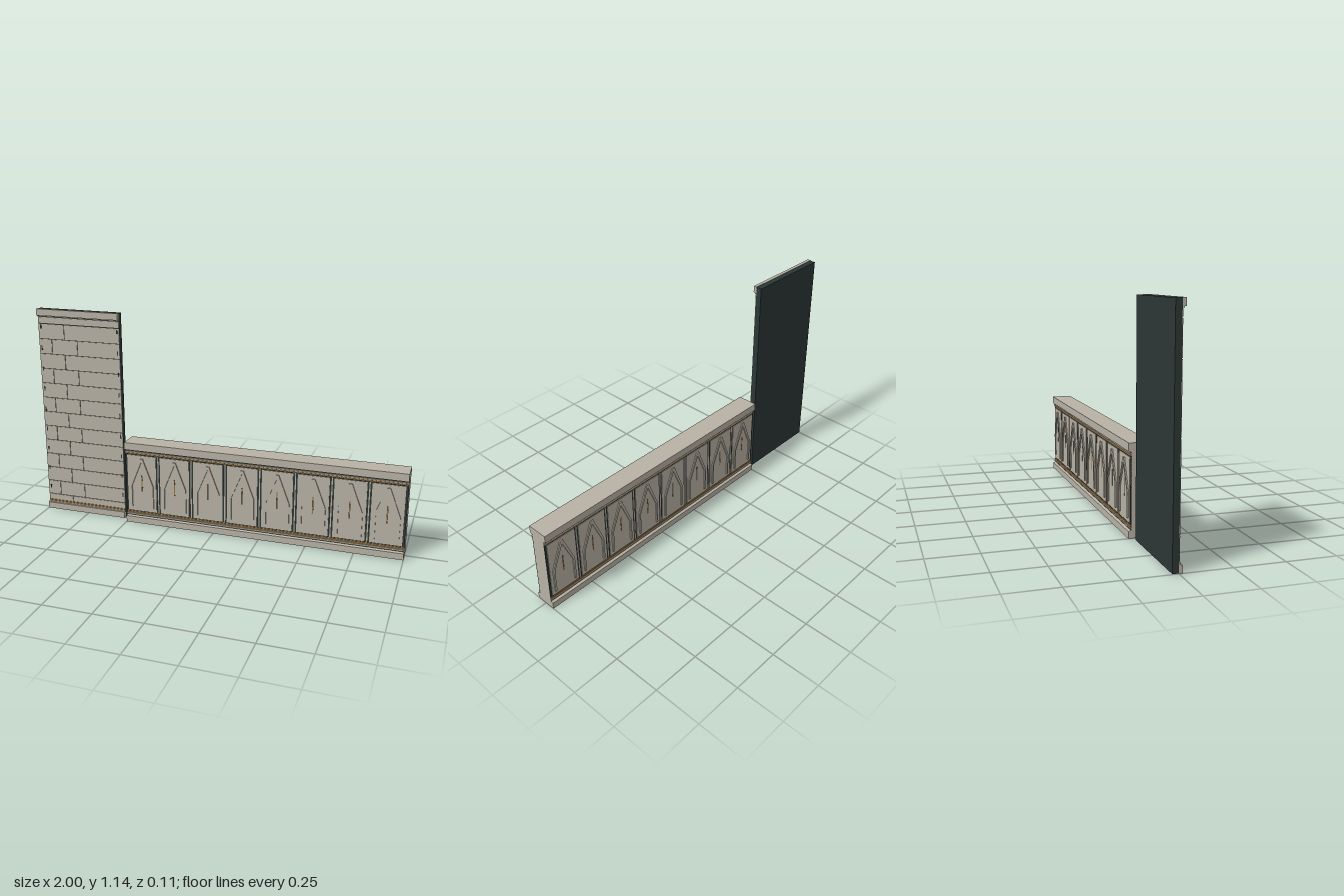
import * as THREE from 'three';

const mat = (name, hex) => {
  const m = new THREE.MeshStandardMaterial({ color: hex });
  m.name = name;
  return m;
};

export function createModel() {
  const stone = mat('stone', 0xb8b2a5);
  const dark = mat('darkBacking', 0x2c3735);
  const gold = mat('gold', 0x9c7138);
  const model = new THREE.Group();

  // box given by its limits on each axis
  const box = (parent, name, m, x0, x1, y0, y1, z0, z1) => {
    const mesh = new THREE.Mesh(new THREE.BoxGeometry(x1 - x0, y1 - y0, z1 - z0), m);
    mesh.position.set((x0 + x1) / 2, (y0 + y1) / 2, (z0 + z1) / 2);
    mesh.name = name;
    parent.add(mesh);
    return mesh;
  };
  const shapeOf = pts => new THREE.Shape(pts.map(p => new THREE.Vector2(...p)));

  // ---- tall brick wall ----
  const wall = new THREE.Group();
  wall.name = 'tallWall';
  model.add(wall);
  const L = -1, R = -0.53, W = R - L;
  box(wall, 'wallSlab', dark, L, R, 0.002, 1.143, -0.03, 0);
  box(wall, 'wallBase', stone, L, R, 0, 0.035, 0, 0.018);
  box(wall, 'wallBaseMoulding', stone, L, R, 0.035, 0.042, 0, 0.009);
  box(wall, 'wallGoldLine', gold, L, R, 0.042, 0.05, 0, 0.006);
  box(wall, 'wallFrieze', stone, L, R, 1.068, 1.1, 0, 0.004);
  box(wall, 'wallCapMoulding', stone, L, R, 1.104, 1.11, 0, 0.009);
  box(wall, 'wallCap', stone, L, R, 1.11, 1.145, 0, 0.018);

  // staggered brick courses with narrow joints
  const pitch = 0.0816, gap = 0.0035;
  for (let i = 0; i < 13; i++) {
    const y0 = Math.max(0.05, 0.005 + i * pitch), y1 = 0.005 + (i + 1) * pitch - gap;
    const cuts = i % 2 ? [0, 0.16, 0.48, 1] : [0, 0.32, 1];
    for (let k = 0; k + 1 < cuts.length; k++) {
      const x0 = L + W * cuts[k] + (k ? gap / 2 : 0);
      const x1 = L + W * cuts[k + 1] - (k + 2 < cuts.length ? gap / 2 : 0);
      box(wall, 'brick', stone, x0, x1, y0, y1, 0, 0.003);
    }
  }
  // small studs down both edges
  for (let i = 0; i < 9; i++) {
    const y = 0.13 + i * 0.1145;
    for (const x of [L + 0.014, R - 0.012])
      box(wall, 'edgeStud', dark, x - 0.003, x + 0.003, y - 0.011, y + 0.011, 0, 0.0045);
  }

  // ---- low parapet ----
  const parapet = new THREE.Group();
  parapet.name = 'parapet';
  model.add(parapet);
  const PL = -0.5, PR = 1, LEN = PR - PL;
  const half = [[0.055, 0], [0.055, 0.035], [0.041, 0.04], [0.04, 0.065],
    [0.04, 0.395], [0.041, 0.415], [0.055, 0.42], [0.055, 0.46]];
  const profile = shapeOf([...half, ...half.map(([x, y]) => [-x, y]).reverse()]);
  const bodyGeo = new THREE.ExtrudeGeometry(profile, { depth: LEN, bevelEnabled: false });
  bodyGeo.rotateY(Math.PI / 2);
  bodyGeo.translate(PL, 0, 0);
  const body = new THREE.Mesh(bodyGeo, stone);
  body.name = 'parapetBody';
  parapet.add(body);

  // pointed arch band
  const arch = shapeOf([[-0.066, 0.092], [-0.056, 0.092], [-0.056, 0.218], [0, 0.355],
    [0.056, 0.218], [0.056, 0.092], [0.066, 0.092], [0.066, 0.222], [0.008, 0.374], [-0.008, 0.374],
    [-0.066, 0.222]]);
  const archGeo = new THREE.ExtrudeGeometry(arch, { depth: 0.007, bevelEnabled: false });

  // one decorated face, built on +z and turned round for the back
  const makeFace = name => {
    const face = new THREE.Group();
    face.name = name;
    const h = LEN / 2;
    box(face, 'panelBacking', dark, -h, h, 0.066, 0.396, 0.039, 0.0425);
    for (const [a, b] of [[0.046, 0.052], [0.405, 0.411]])
      box(face, 'rollMoulding', stone, -h, h, a, b, 0.038, 0.047);
    for (const [a, b] of [[0.054, 0.063], [0.397, 0.403]])
      box(face, 'goldLine', gold, -h, h, a, b, 0.038, 0.044);
    for (const [a, b] of [[0.0405, 0.0445], [0.4125, 0.416]])
      box(face, 'shadowLine', dark, -h, h, a, b, 0.038, 0.0425);

    const step = LEN / 8;
    for (let i = 0; i < 8; i++) {
      const x = -h + step * (i + 0.5);
      const panel = new THREE.Group();
      panel.name = 'panel';
      panel.position.x = x;
      box(panel, 'panelPlate', stone, -0.082, 0.082, 0.071, 0.391, 0.04, 0.0455);
      box(panel, 'slot', dark, -0.0035, 0.0035, 0.185, 0.277, 0.045, 0.0459);
      box(panel, 'goldInlay', gold, -0.002, 0.002, 0.188, 0.274, 0.045, 0.0465);
      const band = new THREE.Mesh(archGeo, stone);
      band.name = 'archBand';
      band.position.z = 0.045;
      panel.add(band);
      face.add(panel);
      // slim upright between panels
      if (i) box(face, 'mullion', stone, x - step / 2 - 0.003, x - step / 2 + 0.003, 0.068, 0.394, 0.04, 0.044);
    }
    face.position.x = (PL + PR) / 2;
    parapet.add(face);
    return face;
  };
  makeFace('frontFace');
  makeFace('backFace').rotation.y = Math.PI;

  return model;
}
